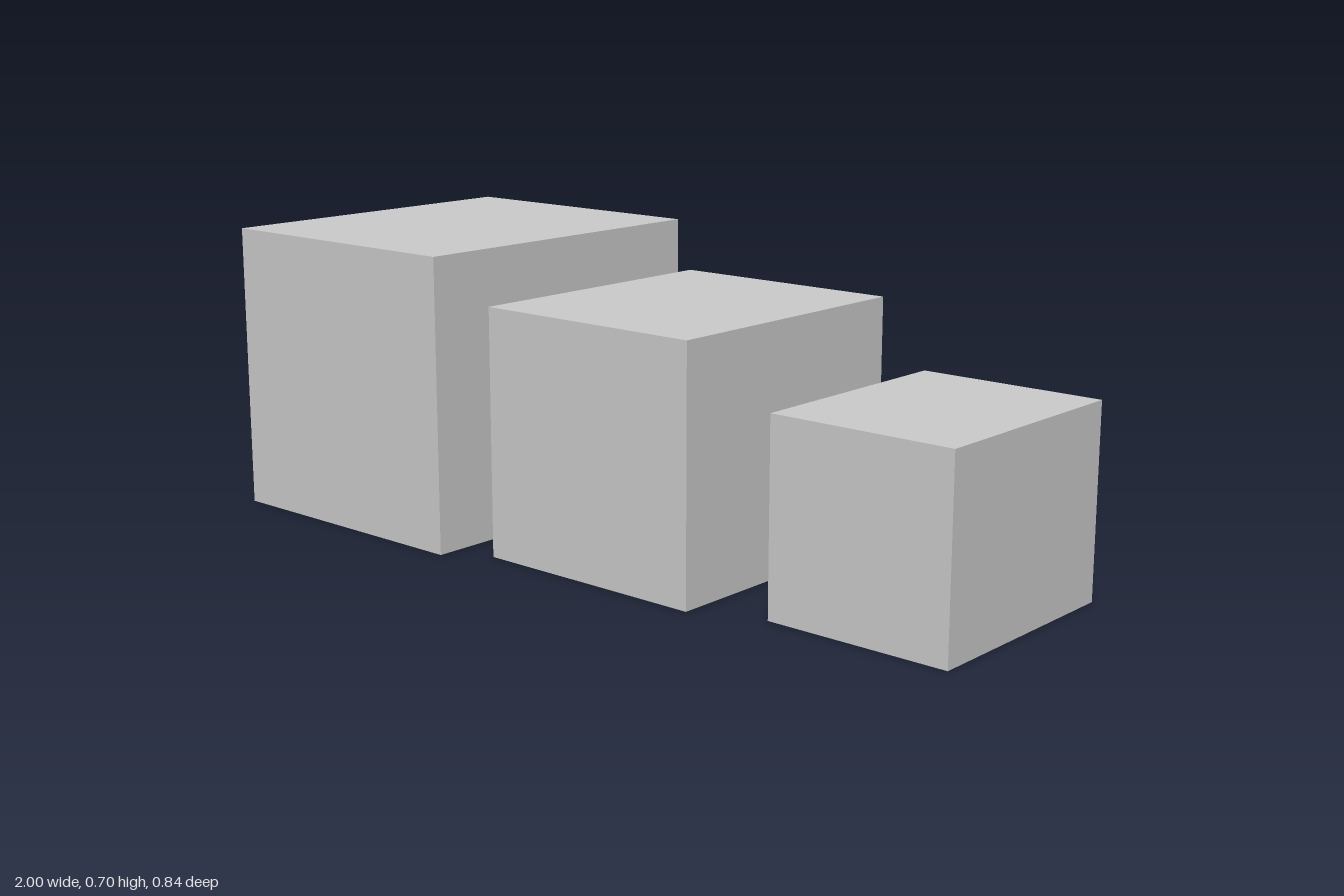
import * as THREE from 'three';

export function createModel() {
  const group = new THREE.Group();
  const material = new THREE.MeshStandardMaterial({ color: 0xcccccc });

  // A box standing on the ground: square front of the given size, its own depth
  const addBox = (name, left, size, depth) => {
    const mesh = new THREE.Mesh(new THREE.BoxGeometry(size, size, depth), material);
    mesh.name = name;
    mesh.position.set(left + size / 2, size / 2, 0);
    group.add(mesh);
  };

  // Row of three boxes, from largest to smallest
  addBox('largeBox', -1, 0.698, 0.838);
  addBox('mediumBox', -0.2, 0.587, 0.697);
  addBox('smallBox', 0.553, 0.447, 0.558);

  return group;
}
